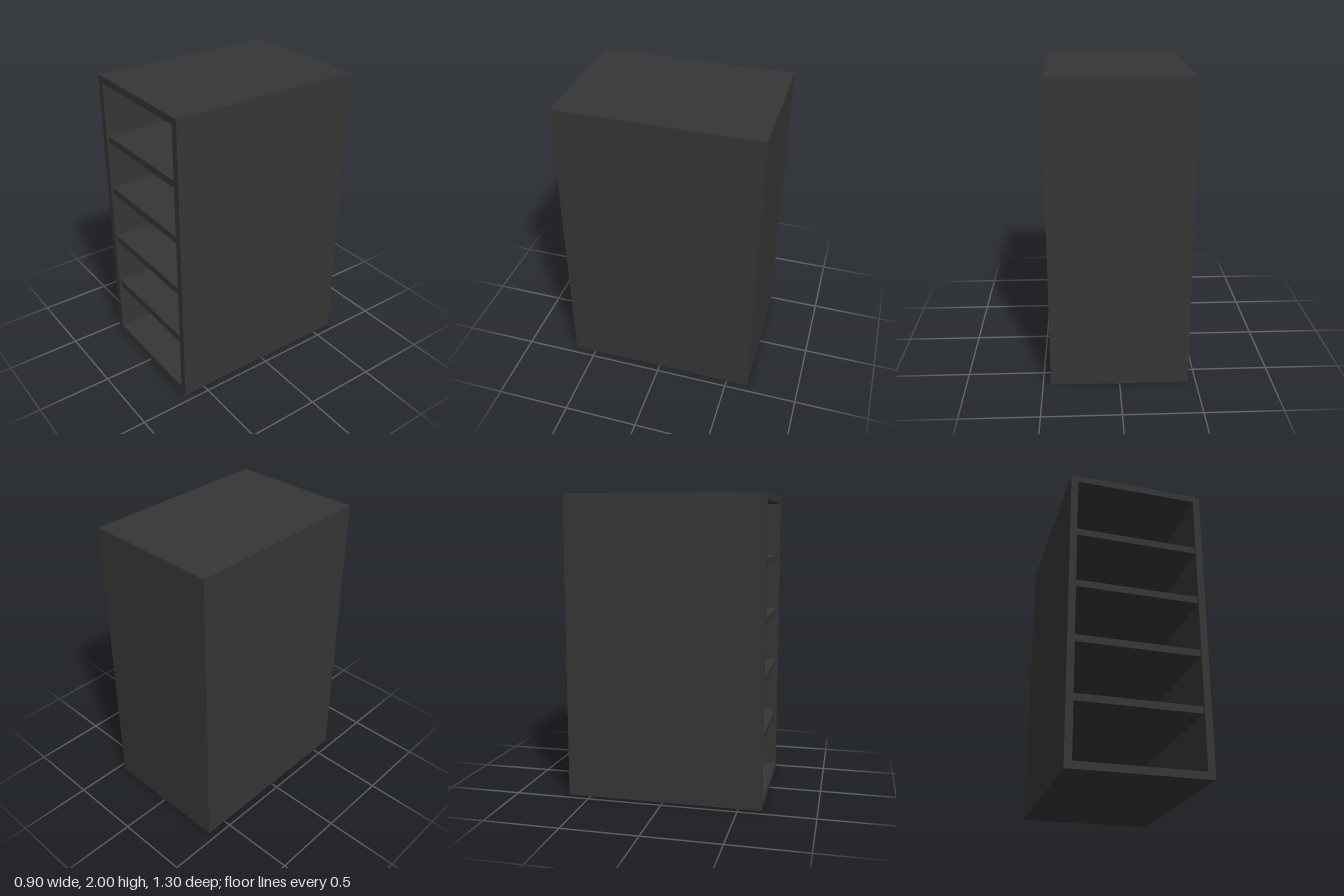
import * as THREE from 'three';

export function createModel() {
  const group = new THREE.Group();
  const charcoal = new THREE.MeshStandardMaterial({ color: 0x363636 });
  charcoal.name = 'charcoal';

  const W = 0.9, H = 2, D = 1.3, T = 0.047; // outer size and board thickness
  const innerW = W - 2 * T, innerH = H - 2 * T;

  const board = (name, w, h, d, x, y, z) => {
    const mesh = new THREE.Mesh(new THREE.BoxGeometry(w, h, d), charcoal);
    mesh.name = name;
    mesh.position.set(x, y, z);
    group.add(mesh);
  };

  // One-piece outer frame: a rectangle with a rectangular opening
  const rect = (path, w, y0, y1) => path.moveTo(-w / 2, y0).lineTo(w / 2, y0)
    .lineTo(w / 2, y1).lineTo(-w / 2, y1).closePath();
  const outline = new THREE.Shape();
  rect(outline, W, 0, H);
  const opening = new THREE.Path();
  rect(opening, innerW, T, H - T);
  outline.holes.push(opening);
  const frame = new THREE.Mesh(
    new THREE.ExtrudeGeometry(outline, { depth: D, bevelEnabled: false }), charcoal);
  frame.name = 'cabinetFrame';
  frame.position.z = -D / 2;
  group.add(frame);

  // Back panel fills the rear of the opening
  board('backPanel', innerW, innerH, T, 0, H / 2, -D / 2 + T / 2);

  // Four evenly spaced shelves, set back slightly from the front
  const recess = 0.014, shelfD = D - T - recess;
  for (let i = 0; i < 4; i++) {
    board(`shelf${i + 1}`, innerW, T, shelfD, 0, 0.432 + i * 0.3787, -D / 2 + T + shelfD / 2);
  }
  return group;
}
